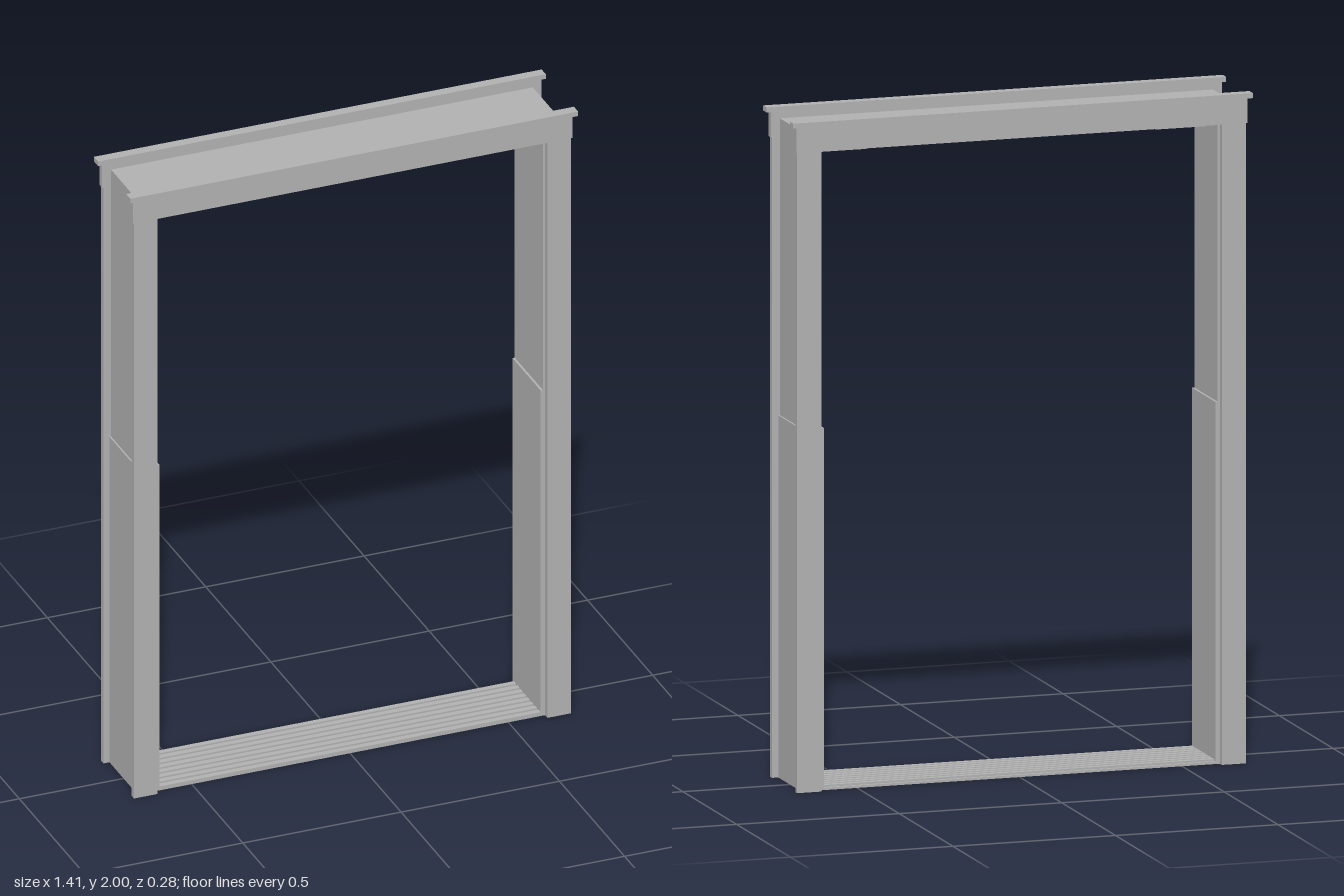
import * as THREE from 'three';

export function createModel() {
  const model = new THREE.Group();
  model.name = 'doorFrame';
  const metal = new THREE.MeshStandardMaterial({ color: 0xb0b0b0 });
  metal.name = 'grey metal';

  // Box given by its limits on each axis
  function box(name, x0, x1, y0, y1, z0, z1) {
    const mesh = new THREE.Mesh(new THREE.BoxGeometry(x1 - x0, y1 - y0, z1 - z0), metal);
    mesh.position.set((x0 + x1) / 2, (y0 + y1) / 2, (z0 + z1) / 2);
    mesh.name = name;
    model.add(mesh);
  }

  // The same box on the left and the right
  function pair(name, x0, x1, ...rest) {
    box(name + 'Left', x0, x1, ...rest);
    box(name + 'Right', -x1, -x0, ...rest);
  }

  const D = 0.108;   // half depth of the jambs

  // Jambs: the lower half is slightly thicker than the upper
  pair('lowerJamb', 0.602, 0.671, 0, 1.08, -D, D);
  pair('upperJamb', 0.609, 0.666, 1.08, 1.965, -D, D);
  box('headJamb', -0.609, 0.609, 1.905, 1.965, -D, D);

  // Casing, lintel and cap on both faces
  for (const s of [1, -1]) {
    const face = s > 0 ? 'front' : 'back';
    const depth = (a, b) => (s > 0 ? [a, b] : [-b, -a]);
    pair(face + 'Casing', 0.616, 0.69, 0, 1.91, ...depth(D, 0.126));
    box(face + 'Lintel', -0.694, 0.694, 1.91, 1.985, ...depth(D, 0.13));
    box(face + 'Cap', -0.707, 0.707, 1.985, 2, ...depth(D, 0.14));
  }

  // Grooved threshold: a comb profile extruded across the opening
  const sill = new THREE.Shape();
  sill.moveTo(-D, 0);
  sill.lineTo(D, 0);
  const ridges = 8, step = 2 * D / ridges;
  for (let i = 0; i < ridges; i++) {
    const z = D - i * step;
    sill.lineTo(z, 0.013);
    sill.lineTo(z - step * 0.65, 0.013);
    sill.lineTo(z - step * 0.65, 0.007);
    sill.lineTo(z - step, 0.007);
  }
  sill.closePath();
  const sillGeometry = new THREE.ExtrudeGeometry(sill, { depth: 1.204, bevelEnabled: false });
  sillGeometry.rotateY(-Math.PI / 2);
  sillGeometry.translate(0.602, 0, 0);
  const threshold = new THREE.Mesh(sillGeometry, metal);
  threshold.name = 'threshold';
  model.add(threshold);

  // Mounting plates under the head
  pair('headPlate', 0.44, 0.603, 1.893, 1.905, -0.031, 0.031);
  pair('headPlateFace', 0.445, 0.598, 1.886, 1.893, -0.027, 0.027);

  return model;
}
